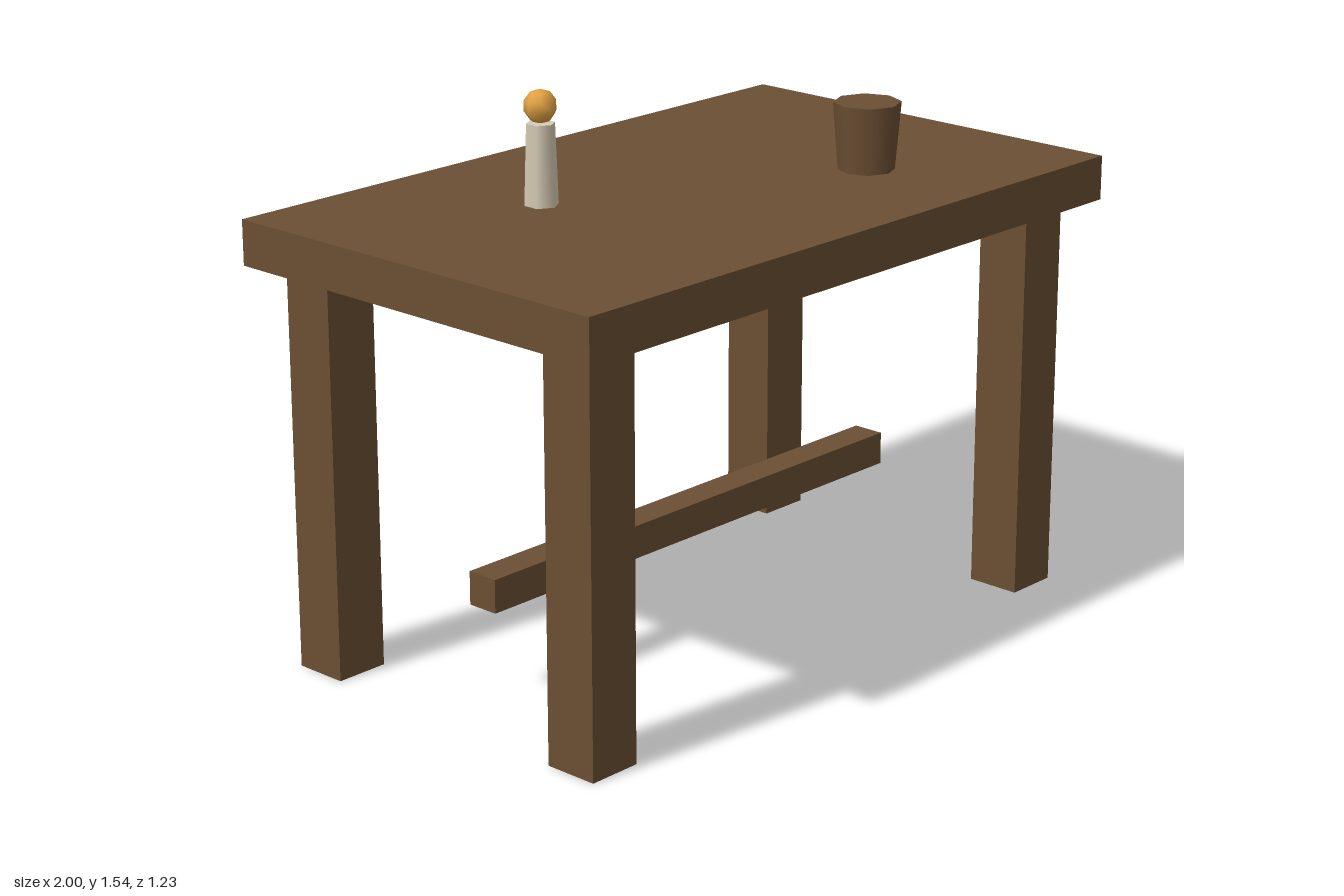
import * as THREE from 'three';

export function createModel() {
  const model = new THREE.Group();
  model.name = 'table';

  const material = (name, color) => {
    const m = new THREE.MeshStandardMaterial({ color });
    m.name = name;
    return m;
  };
  const wood = material('brown wood', 0x6b4f33);
  const wax = material('pale wax', 0xd6cbb4);
  const fire = material('amber flame', 0xe0a040);

  const add = (name, geometry, mat, x, y, z) => {
    const mesh = new THREE.Mesh(geometry, mat);
    mesh.name = name;
    mesh.position.set(x, y, z);
    model.add(mesh);
  };

  const topY = 1.231;

  // Table top and the low stretcher between the legs
  add('tableTop', new THREE.BoxGeometry(2, 0.123, 1.23), wood, 0, topY - 0.0615, 0);
  add('stretcher', new THREE.BoxGeometry(1.54, 0.092, 0.092), wood, 0, 0.311, 0);

  // Four square legs
  const leg = new THREE.BoxGeometry(0.154, 1.108, 0.154);
  for (const sx of [-1, 1]) {
    for (const sz of [-1, 1]) {
      const name = (sz > 0 ? 'front' : 'back') + (sx > 0 ? 'Left' : 'Right') + 'Leg';
      add(name, leg, wood, sx * 0.846, 0.554, sz * 0.462);
    }
  }

  // Candle with a round flame
  add('candle', new THREE.CylinderGeometry(0.0385, 0.046, 0.217, 6), wax, -0.385, topY + 0.1085, -0.154);
  add('flame', new THREE.SphereGeometry(0.0455, 7, 5), fire, -0.385, 1.492, -0.154);

  // Tapered wooden mug
  add('mug', new THREE.CylinderGeometry(0.092, 0.077, 0.185, 8), wood, 0.46, topY + 0.0925, 0.231);

  return model;
}
